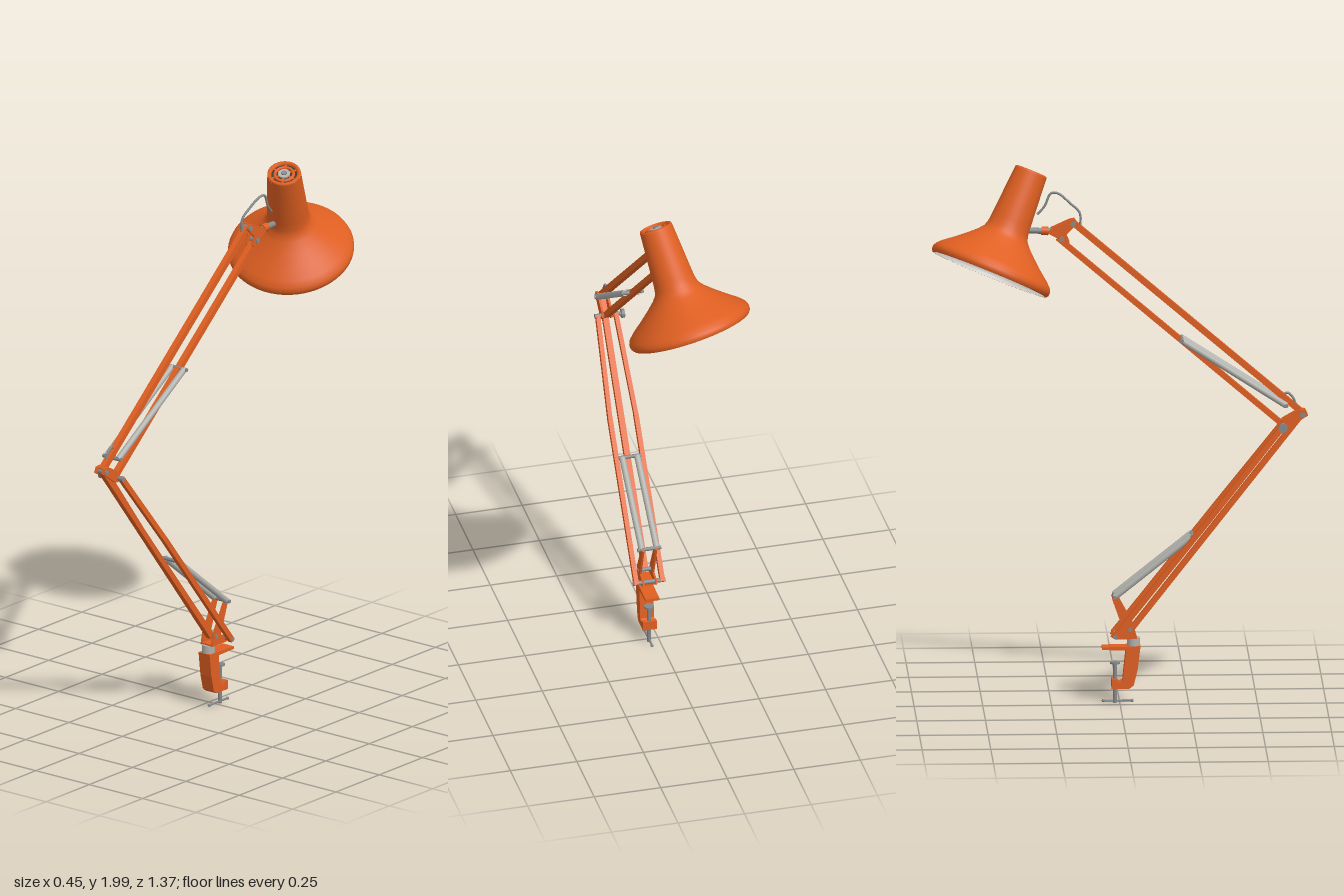
import * as THREE from 'three';

const V = (x, y, z) => new THREE.Vector3(x, y, z);
const X = 0.038; // plane of the arms
const mat = (name, color, side = THREE.FrontSide) => {
  const m = new THREE.MeshStandardMaterial({ color, side });
  m.name = name;
  return m;
};

export function createModel() {
  const root = new THREE.Group();
  root.name = 'deskLamp';
  const orange = mat('orange paint', 0xdf5f21);
  const metal = mat('steel', 0x85888a);
  const springGrey = mat('spring grey', 0xb0b0ac);
  const inner = mat('reflector white', 0xd0cecb, THREE.DoubleSide);
  const bulbMat = mat('bulb glass', 0xe0dedb);
  const dark = mat('dark vent', 0x3a3836);

  const add = (name, geo, material, parent = root) => {
    const m = new THREE.Mesh(geo, material);
    m.name = name;
    parent.add(m);
    return m;
  };
  // Place a y-aligned geometry between two points
  const between = (mesh, a, b) => {
    mesh.position.copy(a).add(b).multiplyScalar(0.5);
    mesh.quaternion.setFromUnitVectors(V(0, 1, 0), b.clone().sub(a).normalize());
    return mesh;
  };
  const bar = (name, a, b, w, d) =>
    between(add(name, new THREE.BoxGeometry(w, a.distanceTo(b), d), orange), a, b);
  const rod = (name, a, b, r, material = metal) =>
    between(add(name, new THREE.CylinderGeometry(r, r, a.distanceTo(b), 20), material), a, b);
  // Pin running along x through (y, z)
  const pin = (name, y, z, half, r) => rod(name, V(X - half, y, z), V(X + half, y, z), r);
  // Side profile of [z, y] points, extruded along x
  const plate = (name, pts, x, w) => {
    const shape = new THREE.Shape(pts.map(p => new THREE.Vector2(...p)));
    const g = new THREE.ExtrudeGeometry(shape, { depth: w, bevelEnabled: false });
    g.rotateY(-Math.PI / 2).translate(x + w / 2, 0, 0);
    return add(name, g, orange);
  };
  const cable = (name, pts) => add(name,
    new THREE.TubeGeometry(new THREE.CatmullRomCurve3(pts), 48, 0.0045, 10), metal);
  const lathe = (pts, n) => new THREE.LatheGeometry(pts.map(p => new THREE.Vector2(...p)), n);

  // Clamp: C-shaped body, screw, pad and T-handle
  plate('clampBody', [[0.075, 0.218], [0.064, 0.13], [0.05, 0.072], [0.034, 0.06], [-0.03, 0.06],
    [-0.03, 0.095], [-0.014, 0.095], [-0.002, 0.082], [0.01, 0.088], [0.022, 0.203],
    [-0.065, 0.205], [-0.065, 0.215]], X, 0.052);
  rod('clampScrew', V(X, 0.004, -0.017), V(X, 0.15, -0.017), 0.007);
  rod('clampPad', V(X, 0.149, -0.017), V(X, 0.156, -0.017), 0.018);
  rod('clampHandle', V(X, 0.012, -0.06), V(X, 0.012, 0.045), 0.004);
  for (const z of [-0.06, 0.045]) {
    const tip = add('handleTip', new THREE.SphereGeometry(0.006, 12, 8), metal);
    tip.position.set(X, 0.012, z);
  }
  rod('swivelCollar', V(X, 0.217, 0.05), V(X, 0.247, 0.05), 0.024, springGrey);

  // Base bracket with spring anchors
  for (const s of [-1, 1]) {
    plate('baseBracket', [[0.062, 0.245], [-0.02, 0.245], [-0.034, 0.255], [-0.028, 0.27],
      [0.012, 0.278], [-0.03, 0.398], [-0.024, 0.41], [-0.01, 0.405], [0.05, 0.295]],
    X + s * 0.024, 0.007);
  }
  plate('bracketFoot', [[0.062, 0.245], [-0.02, 0.245], [-0.02, 0.252], [0.062, 0.252]], X, 0.05);
  pin('basePinFront', 0.28, 0.037, 0.03, 0.008);
  pin('basePinRear', 0.26, -0.018, 0.06, 0.008);
  pin('springAnchor', 0.402, -0.02, 0.044, 0.007);

  // Lower arm: central bar plus a pair that narrows toward the elbow
  bar('lowerArmBar', V(X, 0.275, 0.04), V(X, 1.072, 0.663), 0.022, 0.02);
  for (const s of [-1, 1]) {
    const low = V(X + s * 0.049, 0.255, -0.022);
    const mid = V(X + s * 0.049, 0.74, 0.362);
    const top = V(X + s * 0.034, 1.035, 0.595);
    bar('lowerArmSide', low, mid, 0.017, 0.02);
    bar('lowerArmSideTaper', mid, top, 0.016, 0.02);
    const x = X + s * 0.028;
    rod('lowerSpring', V(x, 0.402, -0.02), V(x, 0.627, 0.262), 0.0115, springGrey);
    rod('upperSpring', V(x, 1.11, 0.605), V(x, 1.355, 0.225), 0.0115, springGrey);
  }
  pin('lowerSpringPin', 0.627, 0.262, 0.042, 0.007);
  pin('upperSpringPinLow', 1.11, 0.605, 0.042, 0.007);
  pin('upperSpringPinHigh', 1.355, 0.225, 0.042, 0.007);

  // Elbow: side plates, pivots and tightening knob
  for (const s of [-1, 1]) {
    plate('elbowPlate', [[0.685, 1.07], [0.675, 1.09], [0.655, 1.092], [0.59, 1.055],
      [0.582, 1.03], [0.595, 1.018], [0.615, 1.022], [0.66, 1.055]], X + s * 0.017, 0.008);
  }
  pin('elbowPinFront', 1.073, 0.665, 0.025, 0.01);
  pin('elbowPinRear', 1.033, 0.595, 0.045, 0.009);
  rod('elbowKnobStem', V(X - 0.045, 1.033, 0.592), V(X - 0.055, 1.033, 0.592), 0.007);
  rod('elbowKnob', V(X - 0.053, 1.033, 0.592), V(X - 0.065, 1.033, 0.592), 0.017);

  // Upper arm: two parallel bars
  bar('upperArmTop', V(X, 1.078, 0.665), V(X, 1.79, -0.168), 0.022, 0.022);
  bar('upperArmBottom', V(X, 1.033, 0.595), V(X, 1.735, -0.225), 0.022, 0.02);

  // Head bracket and shade joint
  for (const s of [-1, 1]) {
    plate('headBracket', [[-0.155, 1.79], [-0.165, 1.806], [-0.185, 1.802], [-0.25, 1.772],
      [-0.262, 1.755], [-0.225, 1.735], [-0.195, 1.712], [-0.183, 1.72], [-0.195, 1.75]],
    X + s * 0.0145, 0.007);
  }
  pin('headPinFront', 1.79, -0.17, 0.022, 0.01);
  pin('headPinRear', 1.733, -0.212, 0.022, 0.01);
  rod('headJoint', V(X, 1.76, -0.235), V(X, 1.763, -0.335), 0.011);
  rod('headJointCollar', V(X, 1.761, -0.26), V(X, 1.762, -0.285), 0.016, orange);

  // Cables
  cable('headCable', [V(X, 1.78, -0.143), V(X, 1.828, -0.146), V(X + 0.006, 1.862, -0.18),
    V(X + 0.018, 1.897, -0.225), V(X + 0.02, 1.896, -0.25), V(X + 0.016, 1.85, -0.273),
    V(X + 0.012, 1.82, -0.3)]);
  cable('elbowCable', [V(X, 1.095, 0.645), V(X, 1.135, 0.63), V(X, 1.152, 0.61),
    V(X, 1.14, 0.592), V(X, 1.105, 0.59)]);

  // Shade, built along y from its rim and tilted as a group
  const head = new THREE.Group();
  head.name = 'shade';
  head.position.set(0, 1.609, -0.476);
  head.quaternion.setFromUnitVectors(V(0, 1, 0), V(0.093, 0.365, 0.157).normalize());
  root.add(head);
  const outline = [[0.223, 0], [0.229, 0.008], [0.23, 0.02], [0.224, 0.034], [0.206, 0.052],
    [0.17, 0.08], [0.13, 0.114], [0.1, 0.142], [0.084, 0.162], [0.078, 0.182], [0.075, 0.21],
    [0.0615, 0.4]];
  add('shadeShell', lathe(outline, 64), orange, head);
  const lining = outline.slice(0, 10).map(([r, y]) => [r - 0.006, y]);
  add('shadeLining', lathe([...lining, [0, 0.19]], 64), inner, head);
  const lip = new THREE.RingGeometry(0.217, 0.223, 64);
  add('shadeLip', lip.rotateX(Math.PI / 2), orange, head);
  add('bulb', new THREE.SphereGeometry(0.066, 32, 20), bulbMat, head).position.y = 0.095;
  add('bulbSocket', new THREE.CylinderGeometry(0.03, 0.03, 0.06, 24), metal, head).position.y = 0.17;

  // Vented cap with concentric rings and switch
  const capEdge = [[0.0615, 0.4], [0.0605, 0.405], [0.056, 0.407], [0.049, 0.405], [0.047, 0.396]];
  add('capEdge', lathe(capEdge, 48), orange, head);
  add('capVent', new THREE.CylinderGeometry(0.05, 0.05, 0.006, 48), dark, head).position.y = 0.394;
  const ring = add('capRing', new THREE.TorusGeometry(0.034, 0.006, 10, 40), orange, head);
  ring.rotation.x = Math.PI / 2;
  ring.position.y = 0.398;
  for (let i = 0; i < 3; i++) {
    const spoke = add('capSpoke', new THREE.BoxGeometry(0.094, 0.006, 0.007), orange, head);
    spoke.position.y = 0.397;
    spoke.rotation.y = i * Math.PI / 3;
  }
  add('switchBase', new THREE.CylinderGeometry(0.022, 0.022, 0.01, 32), springGrey, head).position.y = 0.399;
  add('switchButton', new THREE.CylinderGeometry(0.01, 0.011, 0.008, 24), metal, head).position.y = 0.404;

  return root;
}
